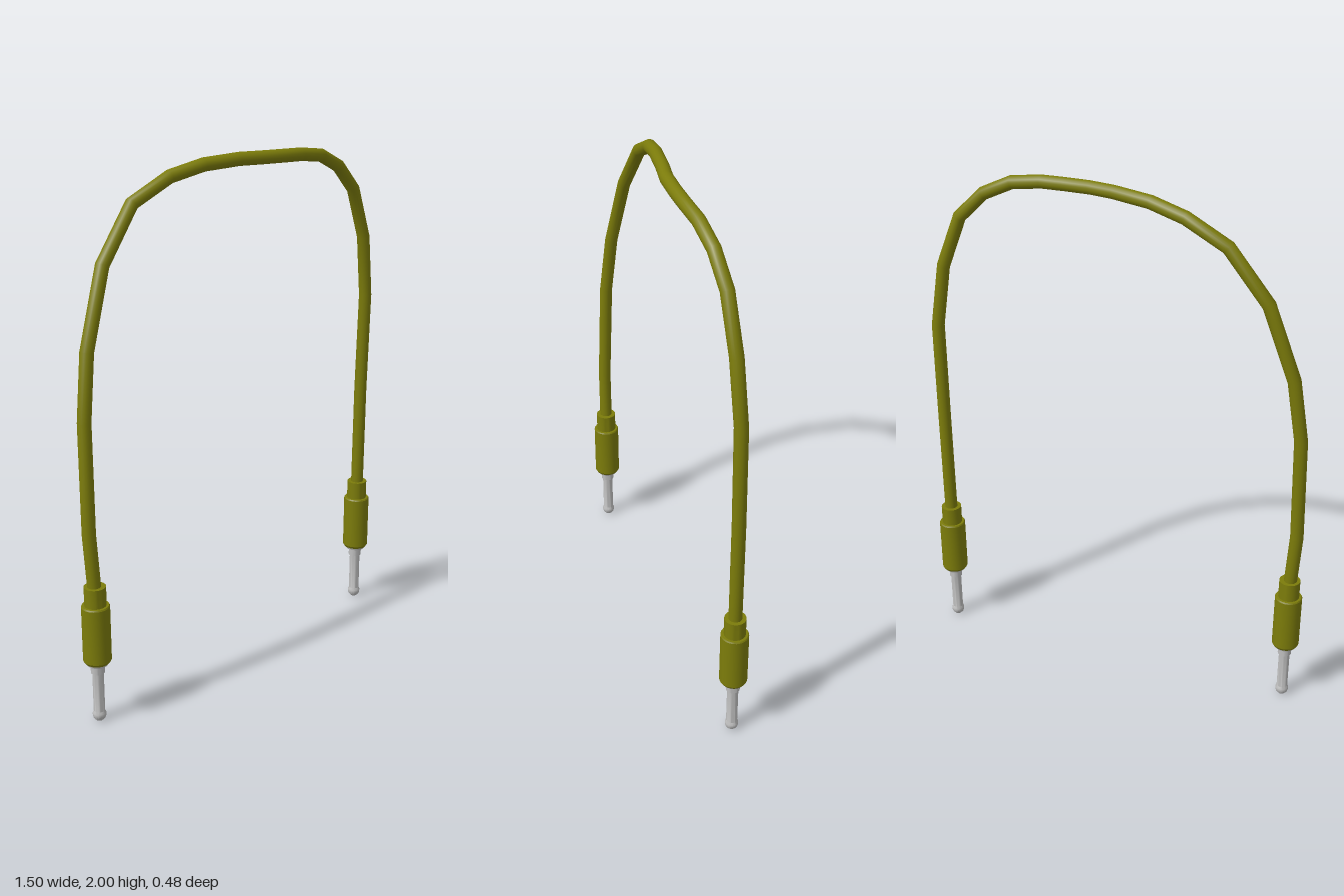
import * as THREE from 'three';
import { toCreasedNormals } from 'three/addons/utils/BufferGeometryUtils.js';

// Centreline of the cable, from the right plug over the arch to the left plug
const PATH = [
  [-0.70, 0.50, 0.19], [-0.715, 0.74, 0.19], [-0.71, 1.15, 0.175], [-0.68, 1.39, 0.15],
  [-0.59, 1.67, 0.10], [-0.45, 1.86, 0.05], [-0.29, 1.937, 0.025], [-0.15, 1.967, 0.015],
  [0, 1.975, 0.005], [0.10, 1.973, 0], [0.20, 1.97, -0.018], [0.29, 1.967, -0.038],
  [0.40, 1.952, -0.073], [0.505, 1.90, -0.11], [0.60, 1.80, -0.142], [0.673, 1.60, -0.167],
  [0.704, 1.355, -0.185], [0.698, 0.95, -0.19], [0.695, 0.50, -0.19],
].map((p) => new THREE.Vector3(...p));

// Straight pieces between the points, with even mitres at the joints
class Polyline extends THREE.Curve {
  constructor(points) {
    super();
    this.points = points;
  }
  getPointAt(t) {
    return this.points[Math.round(t * (this.points.length - 1))].clone();
  }
  getTangentAt(t) {
    const p = this.points, n = p.length - 1, i = Math.round(t * n);
    const dir = (k) => p[k + 1].clone().sub(p[k]).normalize();
    return dir(Math.max(i - 1, 0)).add(dir(Math.min(i, n - 1))).normalize();
  }
}

// Round part turned from [radius, height] pairs listed bottom to top
function turned(name, profile, material) {
  const geometry = new THREE.LatheGeometry(profile.map(([r, y]) => new THREE.Vector2(r, y)), 32);
  const mesh = new THREE.Mesh(toCreasedNormals(geometry, 0.5), material);
  mesh.name = name;
  return mesh;
}

function makePlug(name, x, z, plastic, metal) {
  const plug = new THREE.Group();
  plug.name = name;
  plug.position.set(x, 0, z);
  plug.add(
    // rounded tip, waist, shaft and shoulder
    turned('pin', [
      [0, 0], [0.014, 0.002], [0.022, 0.011], [0.025, 0.02], [0.025, 0.03], [0.02, 0.04],
      [0.021, 0.04], [0.021, 0.195], [0.026, 0.197], [0.026, 0.23], [0.038, 0.23],
      [0.042, 0.238], [0.042, 0.25], [0, 0.25],
    ], metal),
    // grip with chamfered lower edge
    turned('grip', [[0, 0.24], [0.046, 0.24], [0.052, 0.25], [0.052, 0.462], [0.049, 0.467], [0, 0.467]], plastic),
    turned('strainRelief', [[0, 0.46], [0.04, 0.46], [0.04, 0.54], [0, 0.54]], plastic),
  );
  return plug;
}

export function createModel() {
  const plastic = new THREE.MeshStandardMaterial({ color: 0x7c7c0a });
  plastic.name = 'olivePlastic';
  const metal = new THREE.MeshStandardMaterial({ color: 0xbebebe });
  metal.name = 'silverMetal';

  const model = new THREE.Group();
  model.name = 'patchCable';

  const cable = new THREE.Mesh(
    new THREE.TubeGeometry(new Polyline(PATH), PATH.length - 1, 0.025, 16, false), plastic);
  cable.name = 'cable';

  model.add(
    cable,
    makePlug('rightPlug', -0.70, 0.19, plastic, metal),
    makePlug('leftPlug', 0.695, -0.19, plastic, metal),
  );
  return model;
}
